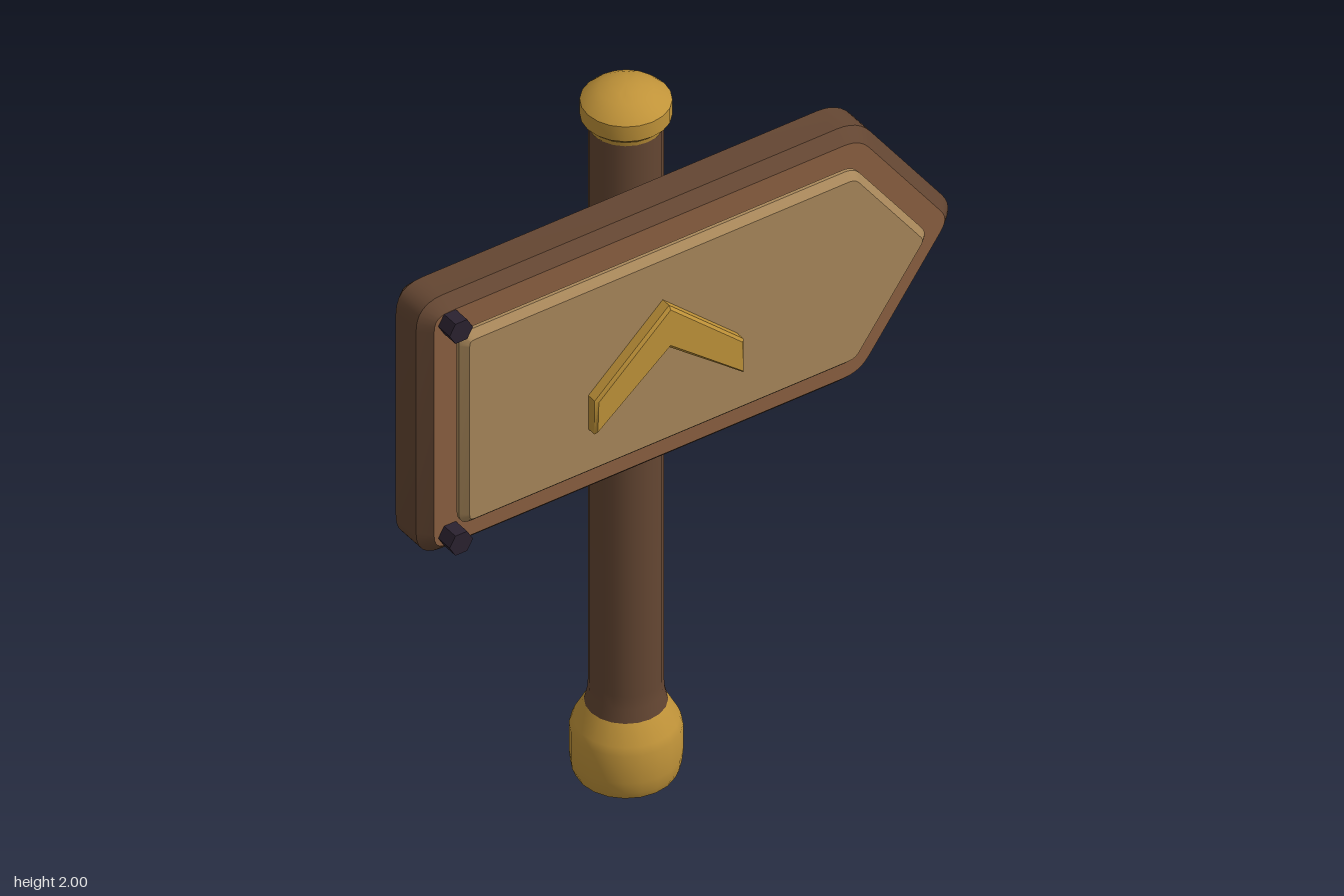
import * as THREE from 'three';
import { toCreasedNormals } from 'three/addons/utils/BufferGeometryUtils.js';

const mat = (name, color) => {
  const m = new THREE.MeshStandardMaterial({ color });
  m.name = name;
  return m;
};

// Closed polygon shape with each corner rounded by its own cut distance
function roundedShape(corners) {
  const shape = new THREE.Shape();
  const n = corners.length;
  corners.forEach(([x, y, r], i) => {
    const p = new THREE.Vector2(x, y);
    const toward = ([qx, qy]) => new THREE.Vector2(qx, qy).sub(p).setLength(r).add(p);
    const a = toward(corners[(i + n - 1) % n]);
    const b = toward(corners[(i + 1) % n]);
    if (i === 0) shape.moveTo(a.x, a.y);
    else shape.lineTo(a.x, a.y);
    if (r > 0) shape.quadraticCurveTo(p.x, p.y, b.x, b.y);
  });
  shape.closePath();
  return shape;
}

// Chamfered slab filling z0..z1, with the shape as its widest outline
function slab(shape, z0, z1, bevel) {
  const geo = new THREE.ExtrudeGeometry(shape, {
    depth: z1 - z0 - 2 * bevel, curveSegments: 6, bevelEnabled: true, bevelSegments: 1,
    bevelThickness: bevel, bevelSize: bevel, bevelOffset: -bevel,
  });
  geo.translate(0, 0, z0 + bevel);
  return toCreasedNormals(geo, 0.6);
}

// Pointed sign outline, symmetric about height cy
function signShape(left, shoulder, tip, cy, half, r) {
  return roundedShape([
    [left, cy - half, r], [shoulder, cy - half, r * 0.8], [tip, cy, r * 0.8],
    [shoulder, cy + half, r * 0.8], [left, cy + half, r],
  ]);
}

export function createModel() {
  const group = new THREE.Group();
  group.name = 'signpost';
  const darkWood = mat('dark wood', 0x644632);
  const midWood = mat('mid wood', 0x8b6041);
  const paleWood = mat('pale wood', 0xa8875a);
  const gold = mat('gold', 0xc09339);
  const iron = mat('dark iron', 0x2b2230);

  const add = (name, geo, material, x = 0, y = 0, z = 0) => {
    const mesh = new THREE.Mesh(geo, material);
    mesh.name = name;
    mesh.position.set(x, y, z);
    group.add(mesh);
  };
  const turned = (name, profile, material) => {
    const pts = profile.map(([r, y]) => new THREE.Vector2(r, y));
    add(name, toCreasedNormals(new THREE.LatheGeometry(pts, 20), 0.5), material, -0.022, 0, -0.083);
  };

  // Turned post with gold foot and domed cap
  turned('post', [[0.1, 0.18], [0.098, 0.2], [0.09, 0.235], [0.088, 0.27], [0.088, 1.9]], darkWood);
  turned('foot', [[0, 0], [0.122, 0], [0.13, 0.02], [0.133, 0.05], [0.133, 0.13],
    [0.125, 0.15], [0.098, 0.2], [0, 0.2]], gold);
  turned('cap', [[0, 1.885], [0.09, 1.885], [0.092, 1.897], [0.108, 1.912], [0.108, 1.955],
    [0.09, 1.972], [0.065, 1.987], [0.035, 1.997], [0, 2]], gold);

  // Board with darker edges, and the pale panel on its front
  add('board', slab(signShape(-0.75, 0.497, 0.77, 1.42, 0.37, 0.075), 0, 0.143, 0.03),
    [midWood, darkWood]);
  add('panel', slab(signShape(-0.663, 0.453, 0.66, 1.42, 0.28, 0.035), 0.135, 0.18, 0.018), paleWood);

  // Raised chevron
  add('chevron', slab(roundedShape([
    [-0.31, 1.28, 0], [-0.1, 1.445, 0], [0.11, 1.28, 0],
    [0.11, 1.378, 0], [-0.1, 1.567, 0], [-0.31, 1.378, 0],
  ]), 0.17, 0.213, 0.007), gold);

  // Hexagonal bolts at the square end
  for (const y of [1.11, 1.73]) {
    const bolt = new THREE.CylinderGeometry(0.033, 0.033, 0.055, 6, 1, false, Math.PI / 6);
    bolt.rotateX(Math.PI / 2);
    add('bolt', toCreasedNormals(bolt, 0.5), iron, -0.675, y, 0.162);
  }
  return group;
}
